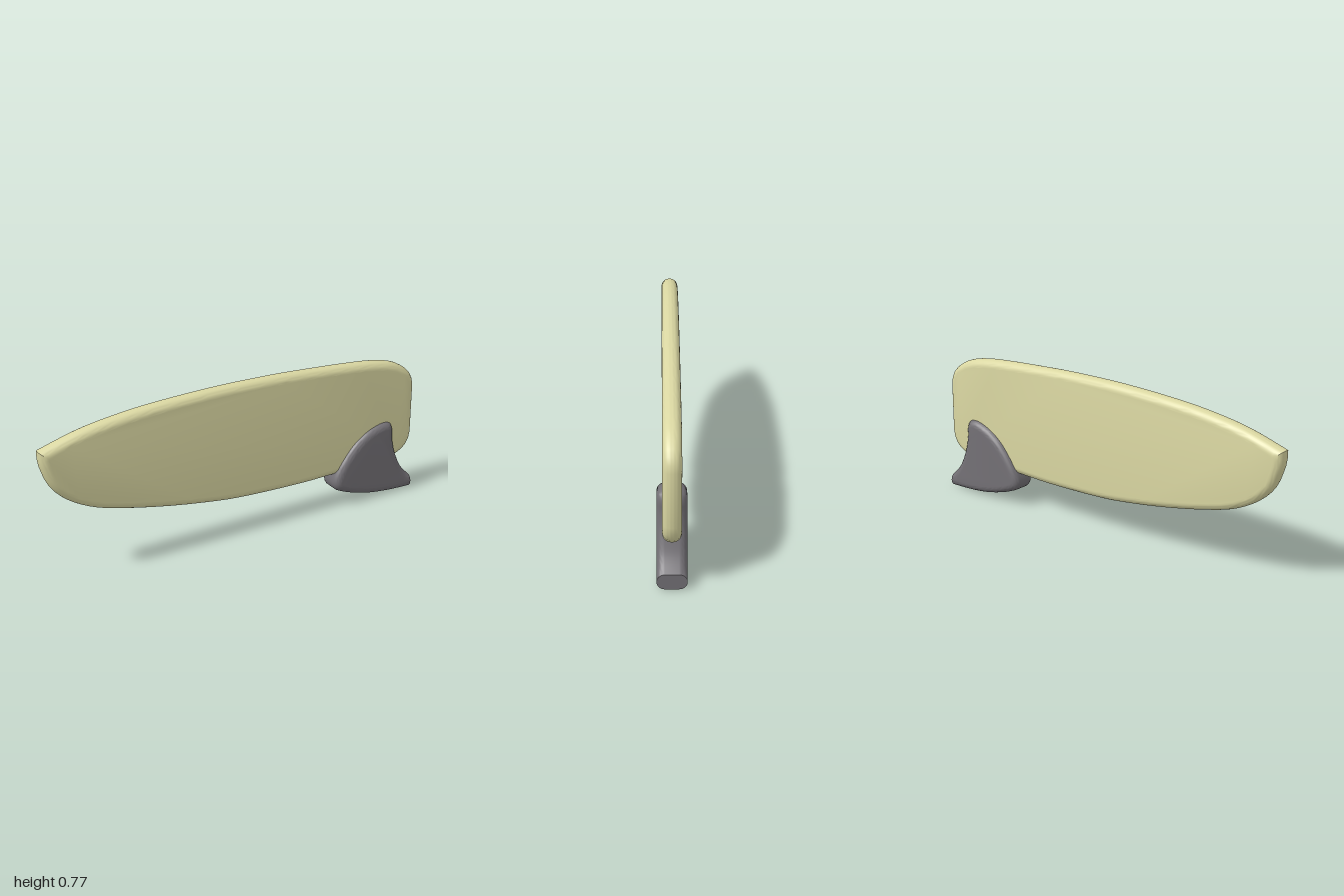
import * as THREE from 'three';
import { toCreasedNormals } from 'three/addons/utils/BufferGeometryUtils.js';

// Smooth curve through a few points, resampled evenly
const spline = (pts, n) =>
  new THREE.SplineCurve(pts.map(([x, y]) => new THREE.Vector2(x, y))).getSpacedPoints(n);

// Flat plate with a rounded rim: outline is anticlockwise, half is half the thickness.
// endInset replaces the inward direction of the first and last points (for a cut-off end).
function roundedPlate(outline, half, bevel, endInset) {
  const n = outline.length;
  const inward = outline.map((p, i) => {
    const a = p.clone().sub(outline[(i + n - 1) % n]).normalize();
    const b = outline[(i + 1) % n].clone().sub(p).normalize();
    const n1 = new THREE.Vector2(-a.y, a.x), n2 = new THREE.Vector2(-b.y, b.x);
    return n1.clone().add(n2).divideScalar(Math.max(0.4, 1 + n1.dot(n2)));
  });
  if (endInset) [inward[0], inward[n - 1]] = endInset;

  const steps = 8, rings = 2 * (steps + 1), pos = [], idx = [];
  for (let r = 0; r < rings; r++) {
    const front = r > steps;
    const angle = ((front ? r - 1 : r) / steps - 1) * Math.PI / 2;
    const inset = bevel * (1 - Math.cos(angle));
    const z = (front ? 1 : -1) * (half - bevel) + bevel * Math.sin(angle);
    outline.forEach((p, i) => pos.push(p.x + inward[i].x * inset, p.y + inward[i].y * inset, z));
  }
  for (let r = 0; r < rings - 1; r++)
    for (let i = 0; i < n; i++) {
      const j = (i + 1) % n, a = r * n + i, b = r * n + j;
      idx.push(a, b, b + n, a, b + n, a + n);
    }
  // Flat faces
  const top = (rings - 1) * n;
  const inner = outline.map((p, i) => p.clone().addScaledVector(inward[i], bevel));
  for (const [a, b, c] of THREE.ShapeUtils.triangulateShape(inner, []))
    idx.push(top + a, top + b, top + c, a, c, b);

  const geo = new THREE.BufferGeometry();
  geo.setAttribute('position', new THREE.Float32BufferAttribute(pos, 3));
  geo.setIndex(idx);
  return toCreasedNormals(geo, 0.6);
}

export function createModel() {
  const group = new THREE.Group();
  const cream = new THREE.MeshStandardMaterial({ name: 'cream', color: 0xdad7a2 });
  const grey = new THREE.MeshStandardMaterial({ name: 'darkGrey', color: 0x737075 });
  const add = (name, geo, mat) => {
    const mesh = new THREE.Mesh(geo, mat);
    mesh.name = name;
    group.add(mesh);
  };

  // Board: pointed nose at -x, squared tail at +x
  const upper = spline([
    [-1, 0.66], [-0.8, 0.715], [-0.6, 0.745], [-0.4, 0.76], [-0.1, 0.767], [0.2, 0.76],
    [0.4, 0.748], [0.6, 0.733], [0.75, 0.717], [0.87, 0.69], [0.95, 0.645], [0.988, 0.6], [1, 0.55],
  ], 60);
  const lower = spline([
    [1, 0.3], [0.988, 0.25], [0.955, 0.21], [0.9, 0.185], [0.8, 0.174], [0.5, 0.166], [0.3, 0.166],
    [0, 0.18], [-0.2, 0.205], [-0.4, 0.24], [-0.6, 0.285], [-0.75, 0.33], [-0.87, 0.395],
    [-0.95, 0.475], [-0.99, 0.57], [-1, 0.62],
  ], 60);
  add('board', roundedPlate([...upper, ...lower].reverse(), 0.041, 0.037), cream);

  // Fin: thicker rounded blade, cut flat at its tail end
  const fin = spline([
    [0.985, 0], [0.865, 0.006], [0.75, 0.02], [0.65, 0.045], [0.575, 0.073], [0.538, 0.095],
    [0.527, 0.13], [0.543, 0.18], [0.58, 0.24], [0.64, 0.31], [0.71, 0.36], [0.78, 0.387],
    [0.825, 0.392], [0.857, 0.38], [0.87, 0.345], [0.872, 0.3], [0.887, 0.23], [0.92, 0.15],
    [0.95, 0.105], [0.985, 0.07],
  ], 90).reverse();
  const endInset = [new THREE.Vector2(0, -0.95), new THREE.Vector2(0, 0.95)];
  add('fin', roundedPlate(fin, 0.065, 0.035, endInset), grey);

  return group;
}
